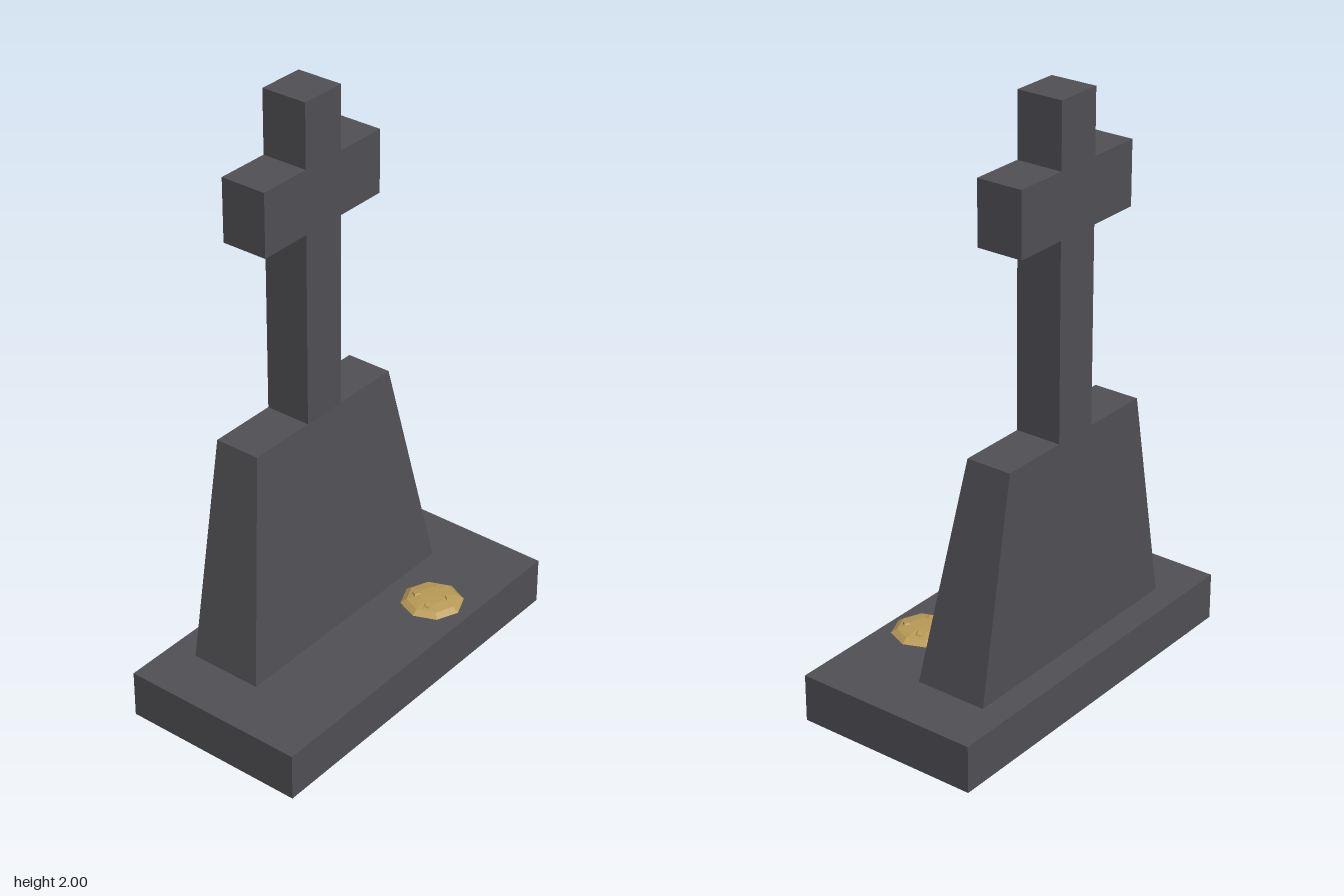
import * as THREE from 'three';

// Faceted copy of a geometry, one normal per face
function faceted(geometry) {
  const flat = geometry.index ? geometry.toNonIndexed() : geometry;
  flat.computeVertexNormals();
  return flat;
}

function part(group, name, geometry, material, x = 0, y = 0, z = 0) {
  const mesh = new THREE.Mesh(geometry, material);
  mesh.name = name;
  mesh.position.set(x, y, z);
  group.add(mesh);
  return mesh;
}

export function createModel() {
  const model = new THREE.Group();
  model.name = 'gravestone';
  const stone = new THREE.MeshStandardMaterial({ color: 0x505055 });
  stone.name = 'dark stone';
  const gold = new THREE.MeshStandardMaterial({ color: 0xb99b57 });
  gold.name = 'golden brown';

  // Plinth
  part(model, 'plinth', new THREE.BoxGeometry(1.296, 0.163, 0.648), stone, 0, 0.0815, 0);

  // Headstone: upright back, sloping front and sides
  const slab = new THREE.BoxGeometry(1, 0.749, 1);
  const p = slab.attributes.position;
  for (let i = 0; i < p.count; i++) {
    const top = p.getY(i) > 0;
    p.setX(i, Math.sign(p.getX(i)) * (top ? 0.324 : 0.459));
    p.setZ(i, p.getZ(i) < 0 ? -0.231 : top ? -0.071 : 0.021);
  }
  part(model, 'headstone', faceted(slab), stone, 0, 0.5375, 0);

  // Cross, one solid outline mirrored left to right
  const half = [[0.082, 0.912], [0.082, 1.572], [0.269, 1.572], [0.269, 1.786], [0.082, 1.786], [0.082, 2]];
  const outline = [...half, ...half.map(([x, y]) => [-x, y]).reverse()];
  const shape = new THREE.Shape(outline.map(([x, y]) => new THREE.Vector2(x, y)));
  const cross = new THREE.ExtrudeGeometry(shape, { depth: 0.16, bevelEnabled: false });
  part(model, 'cross', cross, stone, 0, 0, -0.231);

  // Eight-sided biscuit lying on the plinth
  const biscuit = new THREE.Group();
  biscuit.name = 'biscuit';
  biscuit.position.set(0.232, 0.163, 0.19);
  model.add(biscuit);
  const profile = [[0, 0], [0.085, 0], [0.105, 0.013], [0.085, 0.027], [0.045, 0.034], [0, 0.035]]
    .map(([r, y]) => new THREE.Vector2(r, y));
  part(biscuit, 'biscuitBody', faceted(new THREE.LatheGeometry(profile, 8)), gold);

  // Small angular chips set into its top
  const chipGeometry = faceted(new THREE.CylinderGeometry(0.012, 0.021, 0.012, 4));
  [[-0.022, -0.048, 0.3], [0.047, -0.024, 1.2], [-0.05, 0.02, 0.9], [0.023, 0.05, 0.1]].forEach(([x, z, turn]) => {
    const chip = part(biscuit, 'chip', chipGeometry, gold, x, 0.031, z);
    chip.rotation.set(z * 3, turn, -x * 3);
  });

  return model;
}
